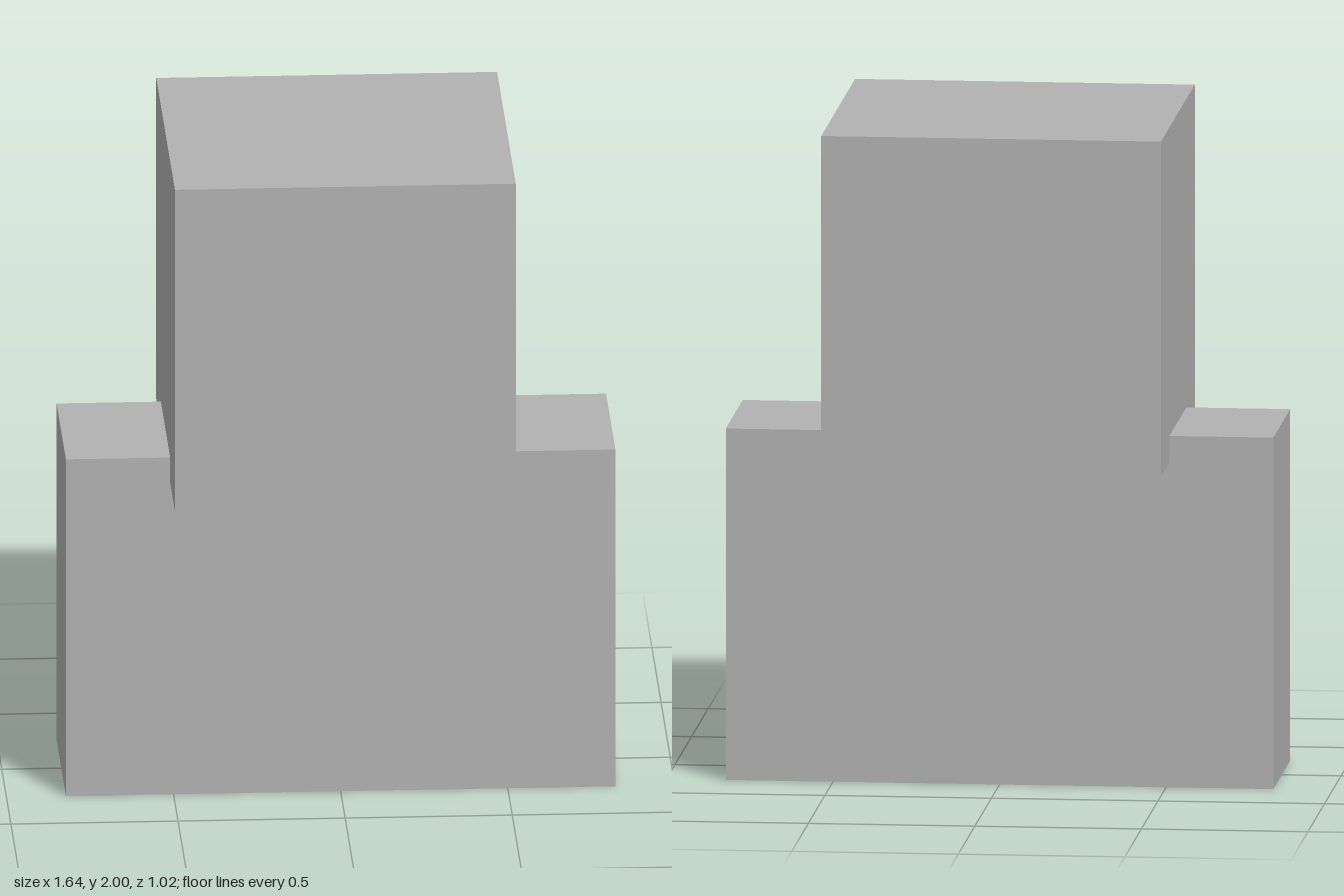
import * as THREE from 'three';

export function createModel() {
  const model = new THREE.Group();
  const grey = new THREE.MeshStandardMaterial({ color: 0xb2b2b2 });
  grey.name = 'plain grey';

  const WALL = 0.025, HEIGHT = 1.065, DEPTH = 0.51;

  const rectangle = (target, w, d) => {
    target.moveTo(-w / 2, -d / 2);
    target.lineTo(w / 2, -d / 2);
    target.lineTo(w / 2, d / 2);
    target.lineTo(-w / 2, d / 2);
    target.closePath();
    return target;
  };

  // Hollow upright box: four walls and a lid, open underneath
  function hollowBox(name, width, x) {
    const group = new THREE.Group();
    group.name = name;
    const outline = rectangle(new THREE.Shape(), width, DEPTH);
    outline.holes.push(rectangle(new THREE.Path(), width - 2 * WALL, DEPTH - 2 * WALL));
    const wallGeo = new THREE.ExtrudeGeometry(outline, { depth: HEIGHT, bevelEnabled: false });
    wallGeo.rotateX(-Math.PI / 2);
    const walls = new THREE.Mesh(wallGeo, grey);
    walls.name = name + 'Walls';
    const lid = new THREE.Mesh(
      new THREE.BoxGeometry(width - 2 * WALL, WALL, DEPTH - 2 * WALL), grey);
    lid.name = name + 'Lid';
    lid.position.y = HEIGHT - WALL / 2;
    group.add(walls, lid);
    group.position.x = x;
    model.add(group);
  }

  // Torso with an arm on each side
  hollowBox('torso', 0.91, 0);
  hollowBox('leftArm', 0.367, 0.6385);
  hollowBox('rightArm', 0.367, -0.6385);

  // Large cube head, sunk a little into the torso
  const head = new THREE.Mesh(new THREE.BoxGeometry(1.02, 1.015, 1.02), grey);
  head.name = 'head';
  head.position.y = 2 - 1.015 / 2;
  model.add(head);

  return model;
}
